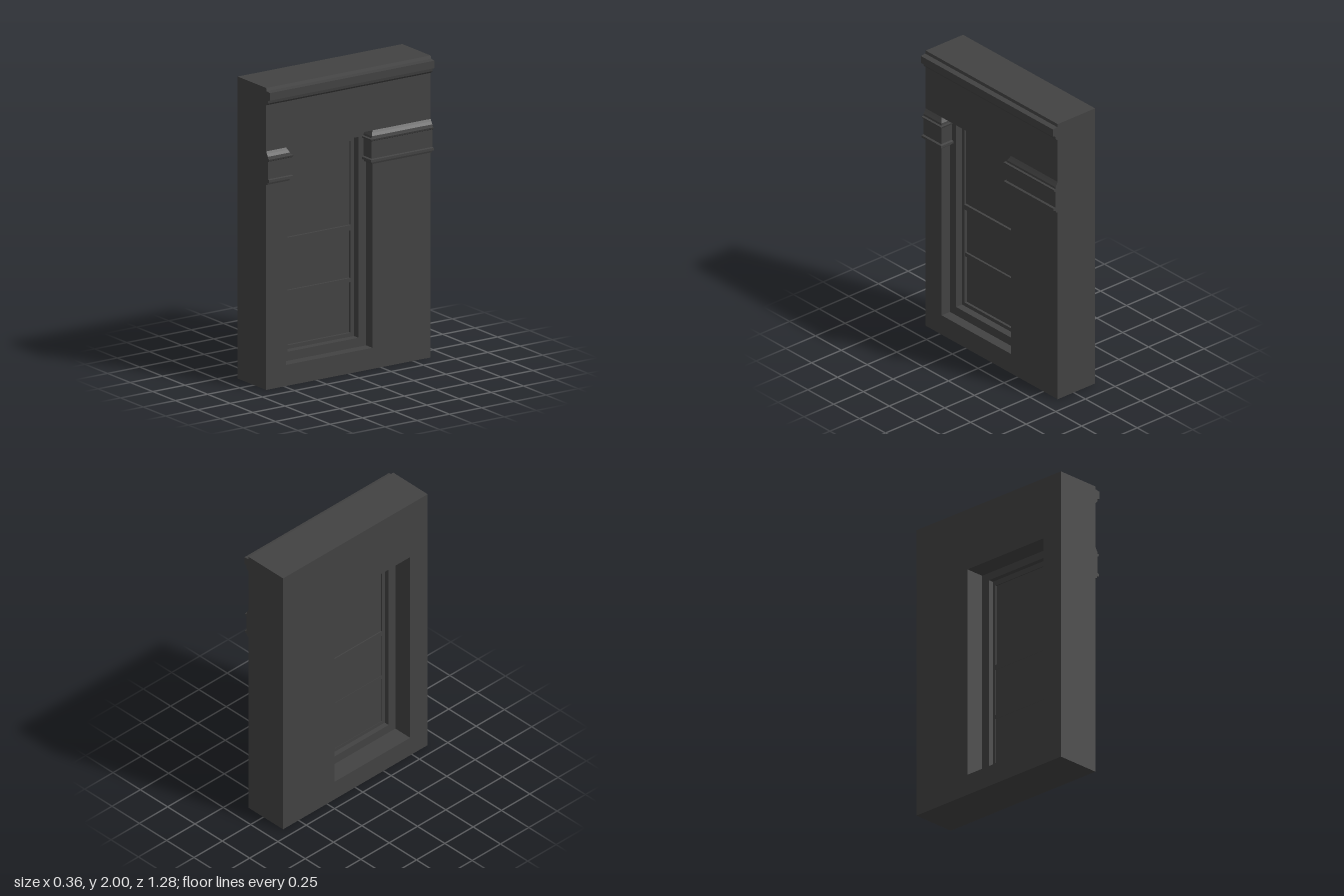
import * as THREE from 'three';

const material = new THREE.MeshStandardMaterial({ color: 0x424242, flatShading: true });

// Wall faces, opening and depth planes; the outer face looks along +x
const BACK = -0.18, FACE = 0.135, FRAME_FRONT = 0.065, FRAME_BACK = -0.045;
const Z_MIN = -0.637, Z_MAX = 0.64;
const OPENING = { z0: -0.185, z1: 0.485, y0: 0.14, y1: 1.58 };
const FRAME_IN = { z0: -0.125, z1: 0.425, y0: 0.2, y1: 1.53 };
const SASH_IN = { z0: -0.1, z1: 0.4, y0: 0.225, y1: 1.495 };

const corners = ({ z0, z1, y0, y1 }) =>
  [[-z1, y0], [-z0, y0], [-z0, y1], [-z1, y1]].map(([u, y]) => new THREE.Vector2(u, y));

function add(group, name, geometry) {
  const mesh = new THREE.Mesh(geometry, material);
  mesh.name = name;
  group.add(mesh);
}

// Rectangular ring between two outlines, running from x0 to x1
function ring(outer, inner, x0, x1) {
  const shape = new THREE.Shape(corners(outer));
  shape.holes.push(new THREE.Path(corners(inner)));
  const g = new THREE.ExtrudeGeometry(shape, { depth: x1 - x0, bevelEnabled: false });
  return g.rotateY(Math.PI / 2).translate(x0, 0, 0);
}

function block(x0, x1, y0, y1, z0, z1) {
  return new THREE.BoxGeometry(x1 - x0, y1 - y0, z1 - z0)
    .translate((x0 + x1) / 2, (y0 + y1) / 2, (z0 + z1) / 2);
}

// Straight moulding from a (projection, height) profile; either end can be mitred
function moulding(profile, length, mitreStart, mitreEnd) {
  const shape = new THREE.Shape(profile.map(([d, y]) => new THREE.Vector2(d, y)));
  const g = new THREE.ExtrudeGeometry(shape, { depth: length, bevelEnabled: false });
  const p = g.attributes.position;
  for (let i = 0; i < p.count; i++) {
    const atEnd = p.getZ(i) > length / 2;
    if (atEnd && mitreEnd) p.setZ(i, length + p.getX(i));
    if (!atEnd && mitreStart) p.setZ(i, -p.getX(i));
  }
  g.computeVertexNormals();
  return g;
}

const CORNICE = [
  [0, 2], [0.004, 1.98], [0.04, 1.975], [0.04, 1.925], [0.022, 1.92],
  [0.018, 1.9], [0.008, 1.888], [0, 1.885],
];
const BAND = [
  [0, 1.58], [0.008, 1.565], [0.018, 1.548], [0.02, 1.535], [0.034, 1.532], [0.03, 1.52], [0.02, 1.515],
  [0.02, 1.4], [0.034, 1.396], [0.034, 1.38], [0.018, 1.375], [0.014, 1.362], [0, 1.358],
];

export function createModel() {
  const model = new THREE.Group();
  model.name = 'windowWall';

  // Wall with the opening cut right through
  add(model, 'wall', ring({ z0: Z_MIN, z1: Z_MAX, y0: 0, y1: 2 }, OPENING, BACK, FACE));

  // Cornice along the top
  add(model, 'cornice', moulding(CORNICE, Z_MAX - Z_MIN, false, false).translate(FACE, 0, Z_MIN));

  // Moulded band on both sides, returning into the reveal
  const band = new THREE.Group();
  band.name = 'mouldedBand';
  const reveal = FACE - FRAME_FRONT;
  add(band, 'rightBand', moulding(BAND, OPENING.z0 - Z_MIN, false, true).translate(FACE, 0, Z_MIN));
  add(band, 'rightBandReturn', moulding(BAND, reveal, true, false)
    .rotateY(-Math.PI / 2).translate(FACE, 0, OPENING.z0));
  add(band, 'leftBand', moulding(BAND, Z_MAX - OPENING.z1, true, false).translate(FACE, 0, OPENING.z1));
  add(band, 'leftBandReturn', moulding(BAND, reveal, false, true)
    .rotateY(Math.PI / 2).translate(FRAME_FRONT, 0, OPENING.z1));
  model.add(band);

  // Window: frame, sash border, rails and panes
  const sash = new THREE.Group();
  sash.name = 'window';
  add(sash, 'frame', ring(OPENING, FRAME_IN, FRAME_BACK, FRAME_FRONT));
  add(sash, 'sash', ring(FRAME_IN, SASH_IN, -0.01, 0.015));
  const { z0, z1, y0, y1 } = SASH_IN;
  add(sash, 'meetingRail', block(-0.01, 0.02, 0.905, 0.94, z0, z1));
  add(sash, 'lowerRail', block(-0.01, 0.012, 0.56, 0.587, z0, z1));
  add(sash, 'upperPane', block(-0.002, 0.003, 0.94, y1, z0, z1));
  add(sash, 'lowerPane', block(-0.008, -0.003, y0, 0.905, z0, z1));
  model.add(sash);

  return model;
}
